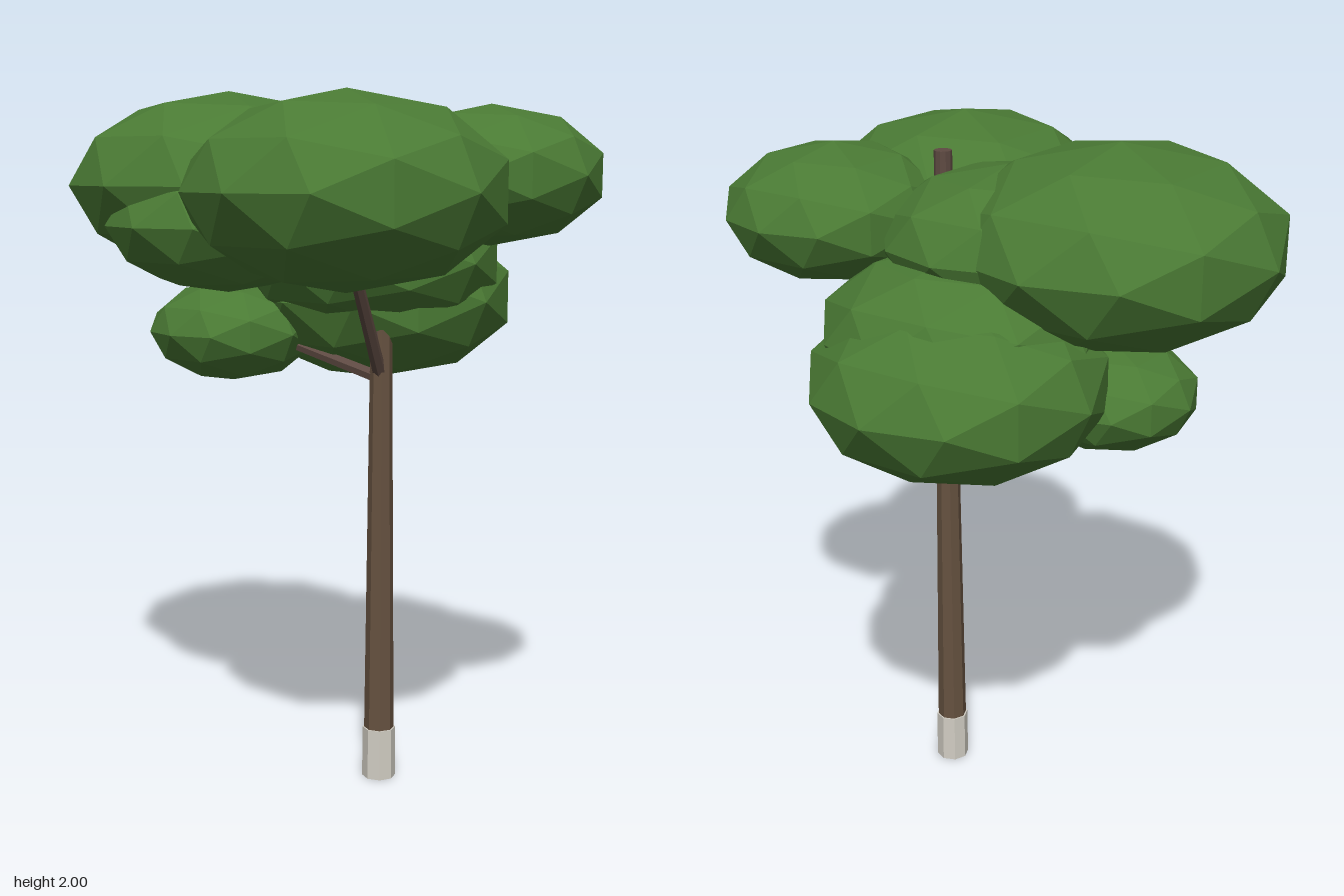
import * as THREE from 'three';

const mat = (name, color) => {
  const m = new THREE.MeshStandardMaterial({ color, flatShading: true });
  m.name = name;
  return m;
};

export function createModel() {
  const tree = new THREE.Group();
  tree.name = 'tree';
  const leafGreen = mat('leafGreen', 0x4a7a34);
  const barkBrown = mat('barkBrown', 0x665240);
  const branchBrown = mat('branchBrown', 0x5e4a42);
  const limeWhite = mat('limeWhite', 0xd2cec4);
  const tx = 0.048, tz = 0.175; // trunk position

  const add = (name, geometry, material, x, y, z) => {
    const mesh = new THREE.Mesh(geometry, material);
    mesh.name = name;
    mesh.position.set(x, y, z);
    tree.add(mesh);
    return mesh;
  };

  // Tapered round bar between two points
  const bar = (name, from, to, r0, r1, sides, material) => {
    const a = new THREE.Vector3(...from), b = new THREE.Vector3(...to);
    const dir = b.clone().sub(a);
    const mid = a.clone().add(b).multiplyScalar(0.5);
    const mesh = add(name, new THREE.CylinderGeometry(r1, r0, dir.length(), sides), material, mid.x, mid.y, mid.z);
    mesh.quaternion.setFromUnitVectors(new THREE.Vector3(0, 1, 0), dir.normalize());
  };

  // Trunk, painted foot and upper stem
  bar('paintedFoot', [tx, 0, tz], [tx, 0.15, tz], 0.049, 0.048, 8, limeWhite);
  bar('trunk', [tx, 0.02, tz], [tx, 1.33, tz], 0.045, 0.031, 8, barkBrown);
  bar('upperStem', [tx, 1.25, tz], [tx, 1.94, tz], 0.03, 0.025, 10, branchBrown);

  // Branches reaching into the foliage
  [[-0.25, 1.64, 0.3], [0.3, 1.4, -0.04], [-0.08, 1.33, -0.28], [0.16, 1.7, 0.42]].forEach((end, i) =>
    bar('branch' + (i + 1), [tx, i === 3 ? 1.4 : 1.19, tz], end, 0.02, 0.015, 6, branchBrown));

  // Foliage clumps: centre, horizontal radius, vertical radius
  [
    ['backClump', -0.08, 1.73, -0.31, 0.47, 0.27],
    ['frontRightClump', -0.283, 1.72, 0.345, 0.435, 0.26],
    ['frontLeftClump', 0.165, 1.76, 0.463, 0.315, 0.19],
    ['lowerLeftClump', 0.3, 1.4, -0.06, 0.413, 0.25],
    ['middleLeftClump', 0.2, 1.515, 0, 0.39, 0.215],
    ['lowerRightClump', -0.08, 1.305, -0.3, 0.25, 0.15],
    ['centreClump', 0.02, 1.725, -0.03, 0.36, 0.2],
    ['middleRightClump', -0.205, 1.62, -0.185, 0.35, 0.19],
  ].forEach(([name, x, y, z, r, h]) =>
    add(name, new THREE.IcosahedronGeometry(1, 1).scale(r, h, r), leafGreen, x, y, z));

  return tree;
}
